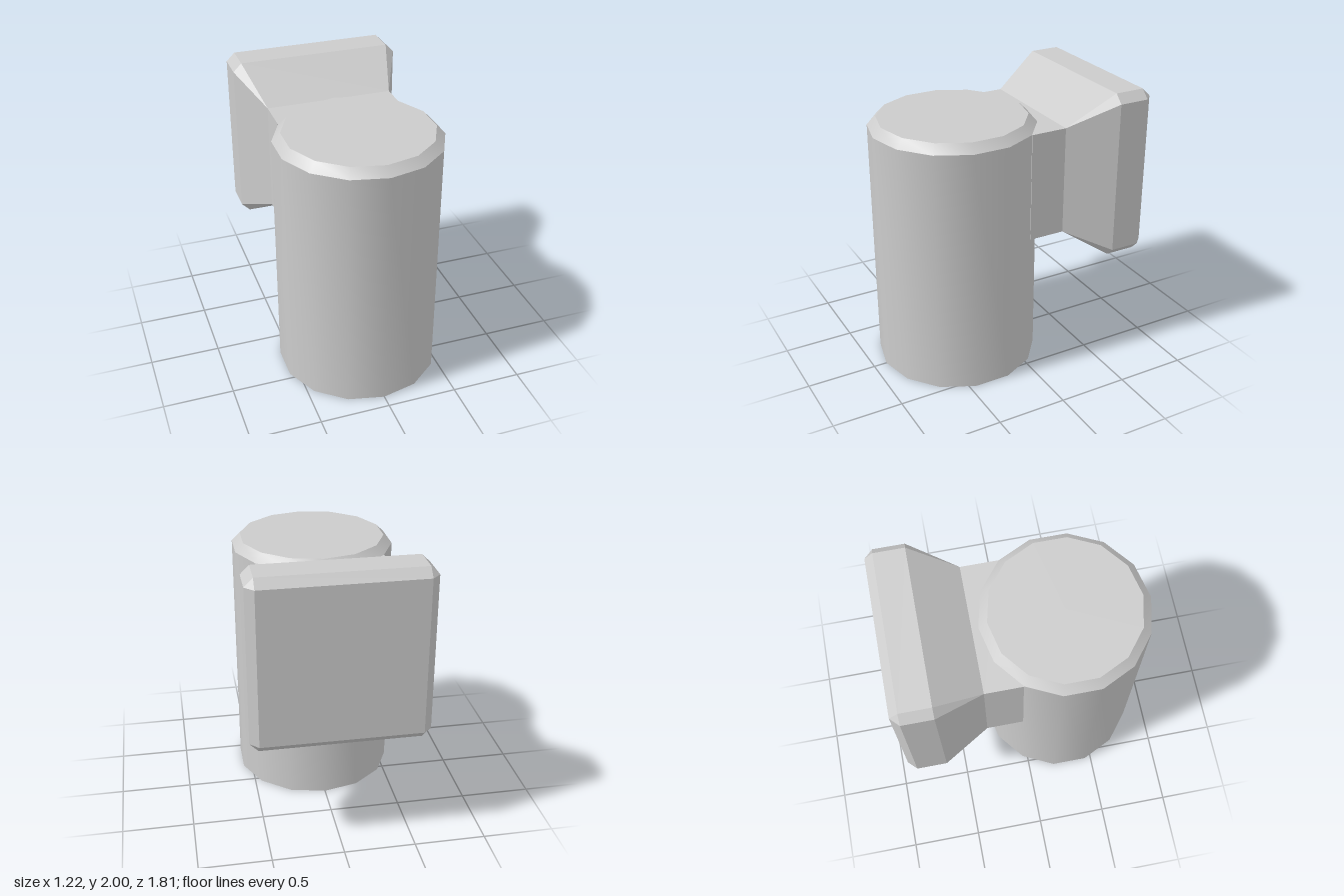
import * as THREE from 'three';
import { toCreasedNormals } from 'three/addons/utils/BufferGeometryUtils.js';

const material = new THREE.MeshStandardMaterial({ color: 0xcccccc });

// Rectangle with corners cut by c, counter-clockwise seen from +z
function section(z, halfWidth, bottom, top, c) {
  const w = halfWidth;
  return [
    [w, bottom + c], [w, top - c], [w - c, top], [c - w, top],
    [-w, top - c], [-w, bottom + c], [c - w, bottom], [w - c, bottom],
  ].map(([x, y]) => new THREE.Vector3(x, y, z));
}

// Flat-shaded, capped skin over sections ordered from front to back
function loft(sections) {
  const points = [];
  const triangle = (a, b, c) => {
    const area = b.clone().sub(a).cross(c.clone().sub(a)).length();
    if (area > 1e-8) points.push(a, b, c);
  };
  const n = sections[0].length;
  for (let i = 0; i < sections.length - 1; i++) {
    const a = sections[i], b = sections[i + 1];
    for (let j = 0; j < n; j++) {
      const k = (j + 1) % n;
      triangle(a[j], b[j], b[k]);
      triangle(a[j], b[k], a[k]);
    }
  }
  const front = sections[0], back = sections[sections.length - 1];
  for (let j = 1; j < n - 1; j++) {
    triangle(front[0], front[j], front[j + 1]);
    triangle(back[0], back[j + 1], back[j]);
  }
  const geometry = new THREE.BufferGeometry().setFromPoints(points);
  geometry.computeVertexNormals();
  return geometry;
}

export function createModel() {
  const model = new THREE.Group();
  model.name = 'postWithSideBlock';

  // Upright 14-sided post with a chamfered top rim
  const profile = [[0, 0], [0.58, 0], [0.58, 1.78], [0.52, 1.84], [0, 1.84]]
    .map(([r, y]) => new THREE.Vector2(r, y));
  const post = new THREE.Mesh(toCreasedNormals(new THREE.LatheGeometry(profile, 14), 0.5), material);
  post.name = 'post';
  post.position.z = 0.325;
  model.add(post);

  // Neck flaring out into a chamfered block behind the post
  const block = new THREE.Mesh(loft([
    section(-0.04, 0.455, 1.0, 1.78, 0),
    section(-0.30, 0.455, 1.0, 1.78, 0),
    section(-0.63, 0.612, 0.78, 2.0, 0.06),
    section(-0.845, 0.612, 0.78, 2.0, 0.06),
    section(-0.905, 0.552, 0.84, 1.94, 0),
  ]), material);
  block.name = 'flaredBlock';
  model.add(block);

  return model;
}
